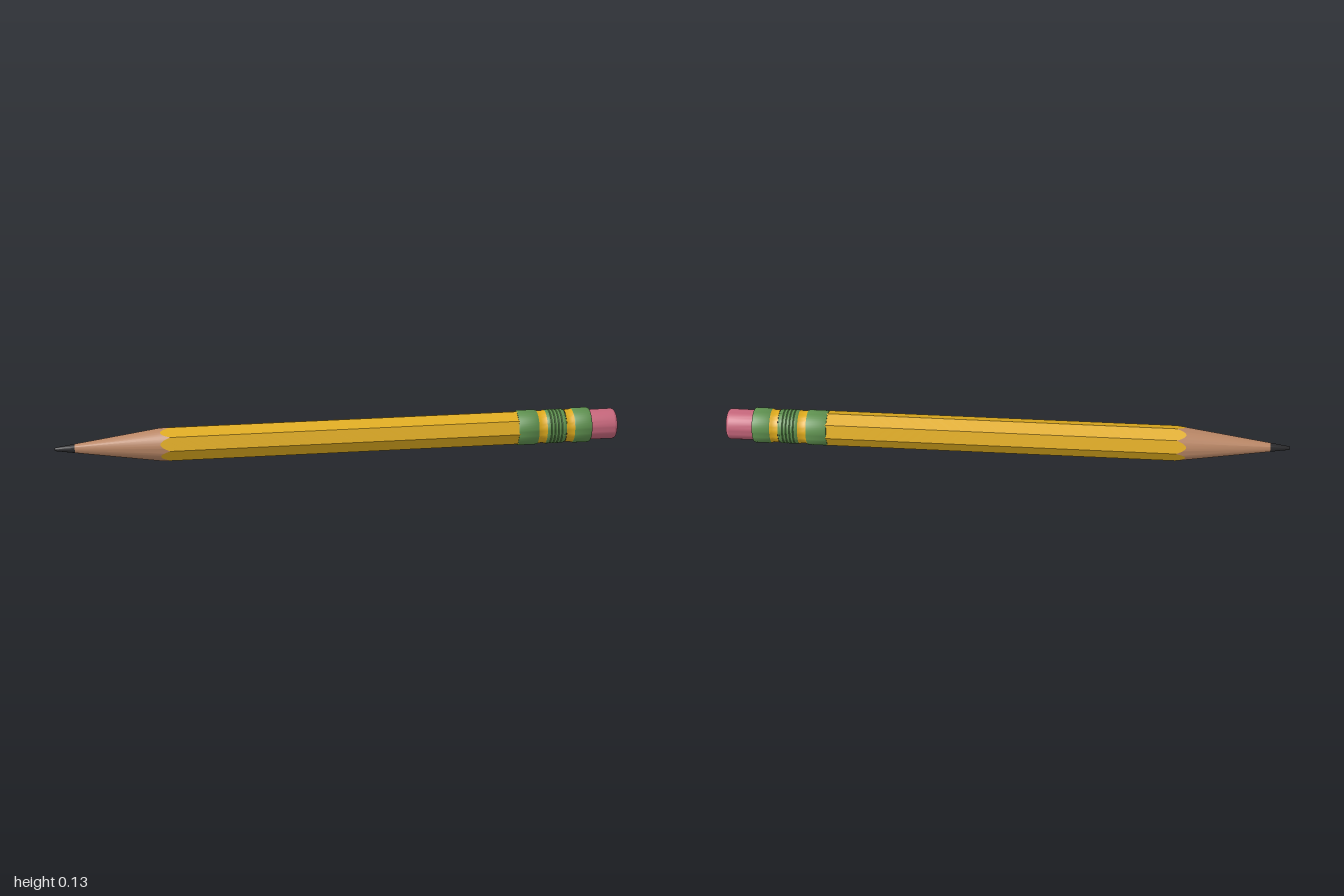
import * as THREE from 'three';
import { toCreasedNormals } from 'three/addons/utils/BufferGeometryUtils.js';

const R = 0.063;          // outer radius, also the height of the axis
const SIDES = 8, SEG = 96;
const CONE_X = -0.93, CONE_R = 0.016, SLOPE = 0.142;

const mat = (name, color) => {
  const m = new THREE.MeshStandardMaterial({ color });
  m.name = name;
  return m;
};

// Radius of the faceted barrel at an angle (corners at 0, 45, 90 ... degrees)
function barrelRadius(a) {
  const step = (Math.PI * 2) / SIDES;
  const local = (((a % step) + step) % step) - step / 2;
  return (R * Math.cos(step / 2)) / Math.cos(local);
}

// Where the sharpened cone meets the barrel, giving the scalloped paint edge
const scallopX = (a) => CONE_X + (barrelRadius(a) - CONE_R) / SLOPE;

// Skin between two outlines, each a function of angle returning [x, radius]
function skin(start, end) {
  const pos = [], index = [];
  for (let i = 0; i <= SEG; i++) {
    const a = (i / SEG) * Math.PI * 2;
    for (const [x, r] of [start(a), end(a)]) pos.push(x, r * Math.sin(a), r * Math.cos(a));
    if (i < SEG) {
      const k = i * 2;
      index.push(k, k + 1, k + 3, k, k + 3, k + 2);
    }
  }
  const g = new THREE.BufferGeometry();
  g.setAttribute('position', new THREE.Float32BufferAttribute(pos, 3));
  g.setIndex(index);
  return toCreasedNormals(g, 0.5);
}

// Turned part along x from [x, radius] pairs
function turned(profile) {
  const g = new THREE.LatheGeometry(profile.map(([x, r]) => new THREE.Vector2(r, x)), 48);
  g.rotateZ(-Math.PI / 2);
  return toCreasedNormals(g, 0.6);
}

export function createModel() {
  const yellow = mat('yellow paint', 0xe0ac1e);
  const wood = mat('bare wood', 0xbb8867);
  const graphite = mat('graphite', 0x2a2a2c);
  const green = mat('green metal', 0x5f9150);
  const pink = mat('pink rubber', 0xc7677c);

  const pencil = new THREE.Group();
  pencil.name = 'pencil';
  pencil.position.y = R;
  const add = (name, geometry, material) => {
    const m = new THREE.Mesh(geometry, material);
    m.name = name;
    pencil.add(m);
  };

  // Barrel and sharpened end
  add('barrel', skin((a) => [scallopX(a), barrelRadius(a)], (a) => [0.645, barrelRadius(a)]), yellow);
  add('sharpenedWood', skin(() => [CONE_X, CONE_R], (a) => [scallopX(a), barrelRadius(a)]), wood);
  add('lead', turned([[-1, 0], [-1, 0.004], [-0.996, 0.0065], [CONE_X, CONE_R]]), graphite);

  // Ferrule: two plain green bands, a finely grooved one, and yellow bands between
  const band = (x0, x1, r) => [
    [x0, 0.05], [x0, r - 0.002], [x0 + 0.004, r], [x1 - 0.004, r], [x1, r - 0.002], [x1, 0.05],
  ];
  add('ferruleFrontBand', turned(band(0.637, 0.71, R)), green);
  add('ferruleRearBand', turned(band(0.84, 0.903, R)), green);
  const grooved = [[0.74, 0.05], [0.74, 0.059]];
  for (let i = 0; i < 5; i++) {
    const x = 0.744 + i * 0.0128;
    grooved.push([x, 0.0615], [x + 0.009, 0.0615], [x + 0.0109, 0.06]);
  }
  grooved.push([0.81, 0.059], [0.81, 0.05]);
  add('ferruleGroovedBand', turned(grooved), green);
  for (const x of [0.71, 0.81]) {
    add('ferruleYellowBand', turned([[x, 0.061], [x + 0.008, 0.0585], [x + 0.022, 0.0585], [x + 0.03, 0.061]]), yellow);
  }

  // Eraser with a rounded end
  const eraser = [[0.89, 0.054]];
  for (let i = 0; i <= 6; i++) {
    const a = (i / 6) * (Math.PI / 2);
    eraser.push([0.988 + 0.012 * Math.sin(a), 0.043 + 0.012 * Math.cos(a)]);
  }
  eraser.push([1, 0]);
  add('eraser', turned(eraser), pink);

  const model = new THREE.Group();
  model.name = 'model';
  model.add(pencil);
  return model;
}
